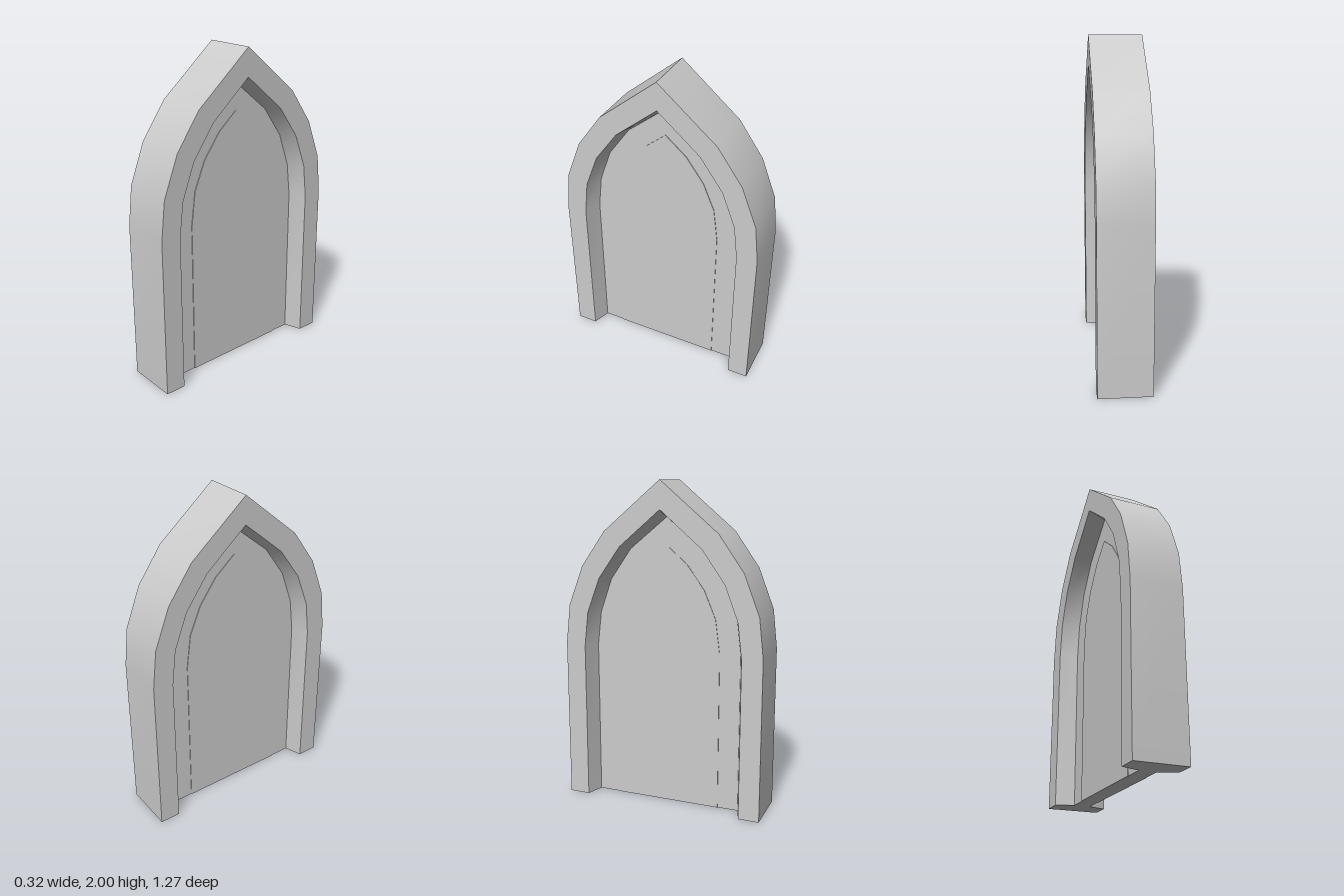
import * as THREE from 'three';
import { toCreasedNormals } from 'three/addons/utils/BufferGeometryUtils.js';

const HALF = 0.16;      // half depth of the frame
const DOOR = 0.05;      // half thickness of the door leaf

// Half arches as [z, y], from the ground up to the apex
const OUTER = [[0.635, 0], [0.635, 1], [0.608, 1.24], [0.513, 1.485], [0.36, 1.7], [0, 2]];
const INNER = [[0.507, 0], [0.507, 0.985], [0.482, 1.2], [0.4, 1.415], [0.26, 1.61], [0, 1.83]];
const DEEP = [[0.47, 0], [0.47, 0.98], [0.445, 1.19], [0.37, 1.4], [0.237, 1.59], [0, 1.785]];
const PANEL = [[0.34, 0], [0.34, 0.98], [0.312, 1.19], [0.24, 1.36], [0.13, 1.51], [0, 1.62]];

// Mirror a half arch into a full one
const mirror = (half) => [...half, ...half.slice(0, -1).reverse().map(([z, y]) => [-z, y])];

// Frame: six-sided section with splayed reveals, swept along the arch
function frameGeometry() {
  const [outer, inner, deep] = [OUTER, INNER, DEEP].map(mirror);
  const pos = [], idx = [], n = 6;
  outer.forEach((_, i) => {
    const section = [
      [HALF, outer[i]], [-HALF, outer[i]], [-HALF, inner[i]],
      [-DOOR, deep[i]], [DOOR, deep[i]], [HALF, inner[i]],
    ];
    for (const [x, [z, y]] of section) pos.push(x, y, z);
  });
  const last = outer.length - 1;
  for (let i = 0; i < last; i++) {
    for (let j = 0; j < n; j++) {
      if (j === 3) continue; // covered by the door leaf
      const a = i * n + j, b = i * n + (j + 1) % n;
      idx.push(a, a + n, b, b, a + n, b + n);
    }
  }
  // Feet
  for (let j = 1; j < n - 1; j++) {
    idx.push(0, j, j + 1, last * n, last * n + j + 1, last * n + j);
  }
  const g = new THREE.BufferGeometry();
  g.setAttribute('position', new THREE.Float32BufferAttribute(pos, 3));
  g.setIndex(idx);
  return toCreasedNormals(g, 0.5);
}

// Flat arched slab, centred on x = 0
function slabGeometry(half, thickness) {
  const shape = new THREE.Shape(mirror(half).map(([z, y]) => new THREE.Vector2(z, y)));
  const g = new THREE.ExtrudeGeometry(shape, { depth: thickness, bevelEnabled: false });
  g.translate(0, 0, -thickness / 2);
  g.rotateY(Math.PI / 2);
  return g;
}

export function createModel() {
  const group = new THREE.Group();
  group.name = 'archedDoorway';
  const material = new THREE.MeshStandardMaterial({ color: 0xcccccc });
  const add = (name, geometry) => {
    const mesh = new THREE.Mesh(geometry, material);
    mesh.name = name;
    group.add(mesh);
  };
  add('archFrame', frameGeometry());
  add('doorLeaf', slabGeometry(DEEP, DOOR * 2));
  // Slightly raised panel showing on both faces of the door
  add('doorPanel', slabGeometry(PANEL, DOOR * 2 + 0.008));
  return group;
}
